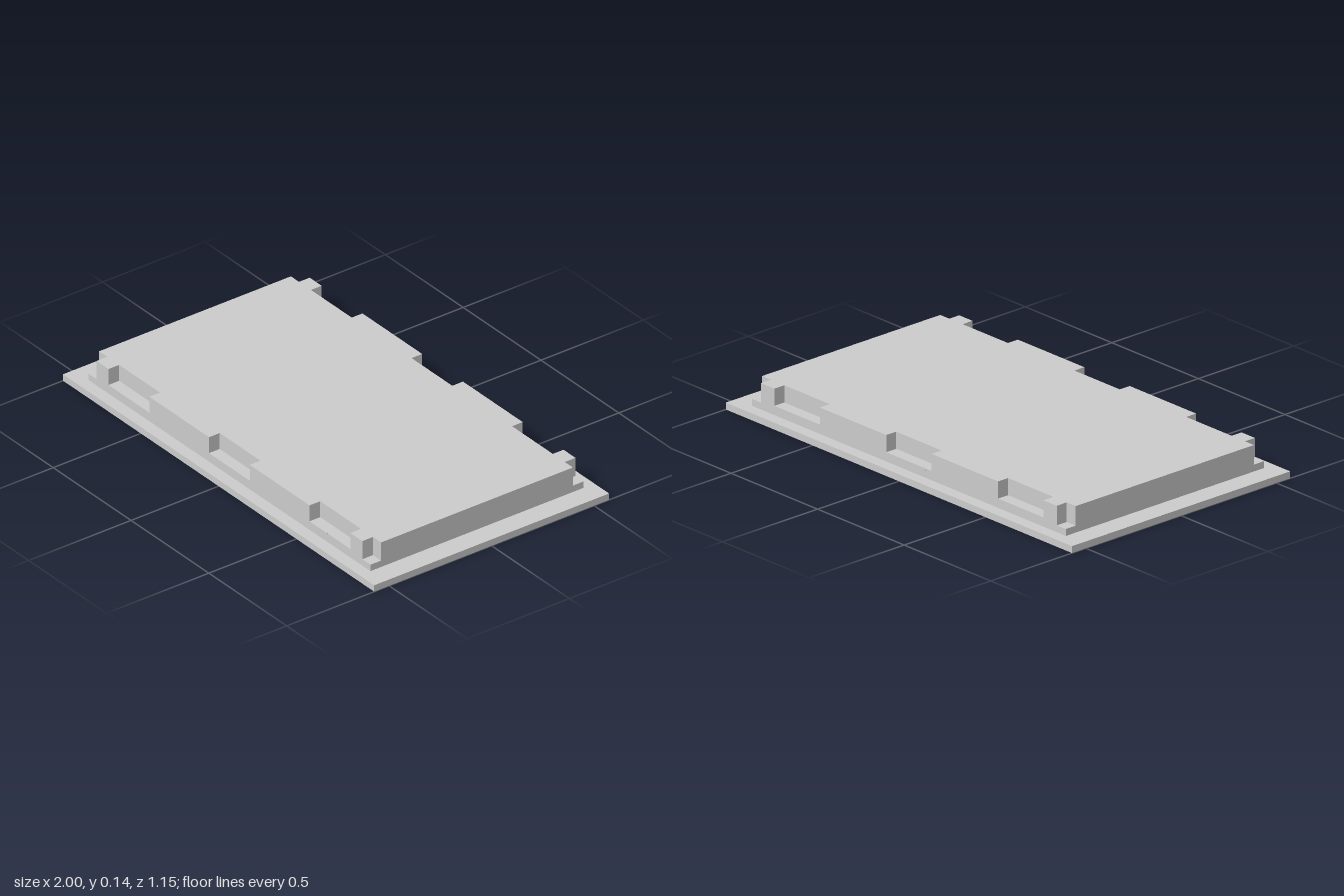
import * as THREE from 'three';

const material = new THREE.MeshStandardMaterial({ color: 0xcccccc, flatShading: true, side: THREE.DoubleSide });

// Main dimensions
const RIM = [1, 0.573], BODY = [0.906, 0.52];
const RIM_Y = 0.029, CORNER_Y = 0.058, POCKET_Y = 0.068, TOP_Y = 0.14;
const DEPTH = 0.052, POCKET_W = 0.262, POCKETS = [-0.646, 0, 0.646];

const rect = (a, b) => [[-a, -b], [a, -b], [a, b], [-a, b]];

// Body outline with stepped corners and, optionally, edge pockets
function notched(withPockets) {
  const [a, b] = BODY, d = DEPTH, h = POCKET_W / 2;
  const half = [[-a, -b + d], [-a + d, -b + d], [-a + d, -b]];
  if (withPockets) {
    for (const x of POCKETS) half.push([x - h, -b], [x - h, -b + d], [x + h, -b + d], [x + h, -b]);
  }
  half.push([a - d, -b], [a - d, -b + d], [a, -b + d]);
  return [...half, ...half.map(([x, z]) => [-x, -z])];
}

// Vertical wall following a closed outline
function wall(outline, y0, y1) {
  const pos = [];
  outline.forEach(([x, z], i) => {
    const [u, w] = outline[(i + 1) % outline.length];
    pos.push(x, y0, z, x, y1, z, u, y1, w, x, y0, z, u, y1, w, u, y0, w);
  });
  const g = new THREE.BufferGeometry();
  g.setAttribute('position', new THREE.Float32BufferAttribute(pos, 3));
  g.computeVertexNormals();
  return g;
}

// Horizontal sheet, facing up
function sheet(outline, y, hole) {
  const points = o => o.map(([x, z]) => new THREE.Vector2(x, -z));
  const shape = new THREE.Shape(points(outline));
  if (hole) shape.holes.push(new THREE.Path(points(hole)));
  return new THREE.ShapeGeometry(shape).rotateX(-Math.PI / 2).translate(0, y, 0);
}

export function createModel() {
  const group = new THREE.Group();
  const add = (name, geometry) => {
    const mesh = new THREE.Mesh(geometry, material);
    mesh.name = name;
    group.add(mesh);
    return mesh;
  };
  const rim = rect(...RIM), body = rect(...BODY);
  const stepped = notched(false), pocketed = notched(true);

  // Flat rim with a turned-down lip
  add('rimLip', wall(rim, 0, RIM_Y));
  add('rimFlange', sheet(rim, RIM_Y, body));

  // Hollow raised body, open underneath
  add('lowerWall', wall(body, RIM_Y, CORNER_Y));
  add('middleWall', wall(stepped, CORNER_Y, POCKET_Y));
  add('upperWall', wall(pocketed, POCKET_Y, TOP_Y));
  add('topPanel', sheet(pocketed, TOP_Y));

  // Floors of the pockets and corner steps on both long sides
  for (const side of [-1, 1]) {
    const z = side * (BODY[1] - DEPTH / 2);
    for (const x of POCKETS) {
      add('pocketFloor', sheet(rect(POCKET_W / 2, DEPTH / 2), 0)).position.set(x, POCKET_Y, z);
    }
    for (const end of [-1, 1]) {
      add('cornerFloor', sheet(rect(DEPTH / 2, DEPTH / 2), 0))
        .position.set(end * (BODY[0] - DEPTH / 2), CORNER_Y, z);
    }
  }
  return group;
}
